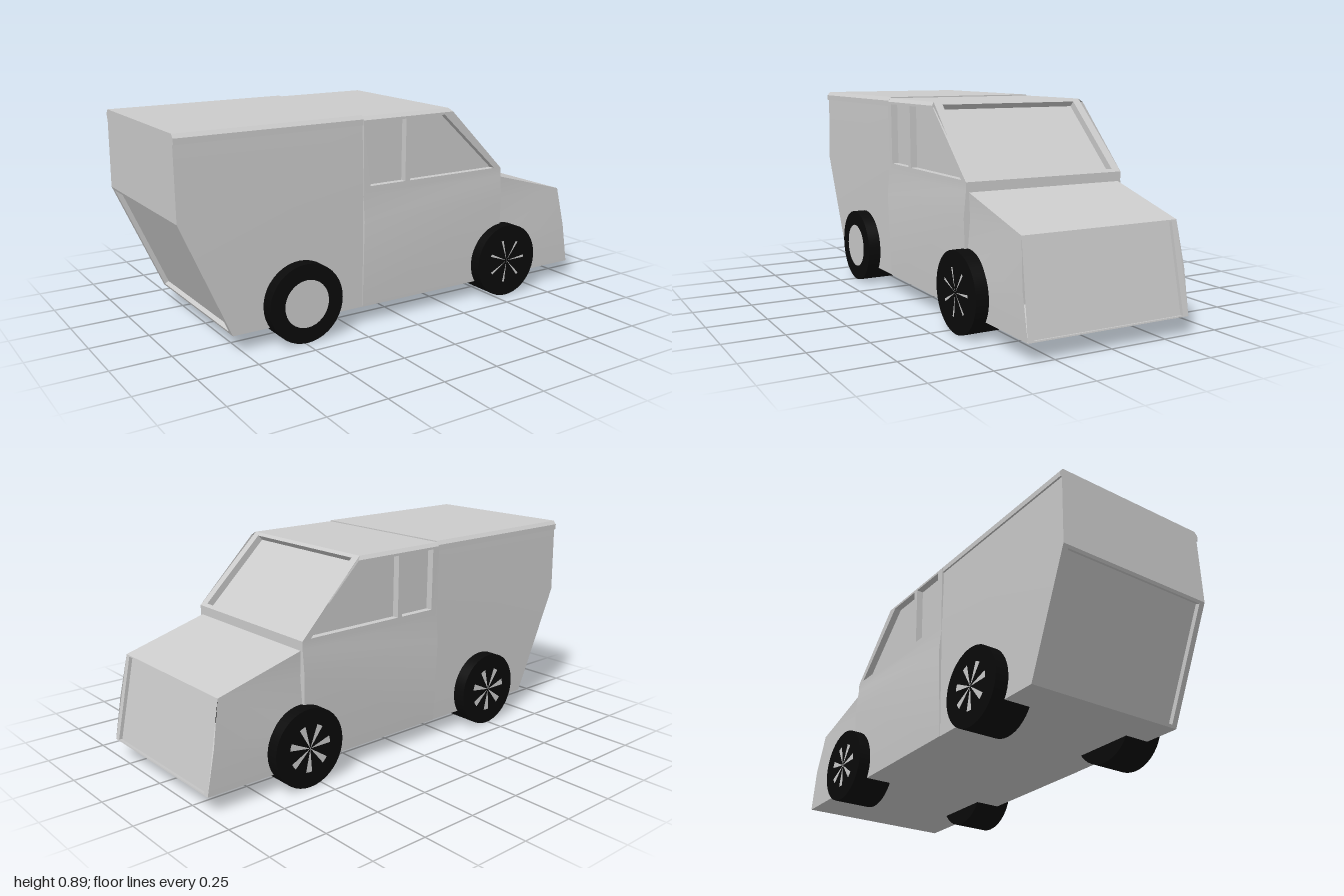
import * as THREE from 'three';
import { mergeGeometries, toCreasedNormals } from 'three/addons/utils/BufferGeometryUtils.js';

const grey = new THREE.MeshStandardMaterial({ color: 0xcccccc, side: THREE.DoubleSide });
const black = new THREE.MeshStandardMaterial({ color: 0x0a0a0a });

// Flat four-cornered panel
function quad(a, b, c, d) {
  const g = new THREE.BufferGeometry();
  g.setAttribute('position', new THREE.Float32BufferAttribute([a, b, c, a, c, d].flat(), 3));
  return g;
}

// Panel spanning the full width, from profile point p to q
const span = (p, q, wp, wq) =>
  quad([p[0], p[1], wp], [q[0], q[1], wq], [q[0], q[1], -wq], [p[0], p[1], -wp]);

// Side panel drawn in x and y, then pushed out to the body's half width at each height
function side(points, width, s, holes = []) {
  const toVec = p => new THREE.Vector2(p[0], p[1]);
  const shape = new THREE.Shape(points.map(toVec));
  holes.forEach(h => shape.holes.push(new THREE.Path(h.map(toVec))));
  const src = new THREE.ShapeGeometry(shape);
  if (s < 0) src.index.array.reverse();
  const g = src.toNonIndexed();
  g.deleteAttribute('uv');
  g.deleteAttribute('normal');
  const pos = g.attributes.position;
  for (let i = 0; i < pos.count; i++) pos.setZ(i, s * width(pos.getY(i)));
  return g;
}

// Frame, reveal and sunken panel inside four corners given in order
function inset(corners, marginU, marginV, depth) {
  const v = corners.map(c => new THREE.Vector3(...c));
  const at = (u, w) => v[0].clone().lerp(v[1], u).lerp(v[3].clone().lerp(v[2], u), w);
  const n = v[1].clone().sub(v[0]).cross(v[3].clone().sub(v[0])).normalize();
  const inner = [[marginU, marginV], [1 - marginU, marginV], [1 - marginU, 1 - marginV], [marginU, 1 - marginV]]
    .map(([a, b]) => at(a, b));
  const sunk = inner.map(p => p.clone().addScaledVector(n, -depth));
  const parts = [quad(...sunk.map(p => p.toArray()))];
  for (let i = 0; i < 4; i++) {
    const j = (i + 1) % 4;
    parts.push(quad(v[i].toArray(), v[j].toArray(), inner[j].toArray(), inner[i].toArray()));
    parts.push(quad(inner[i].toArray(), inner[j].toArray(), sunk[j].toArray(), sunk[i].toArray()));
  }
  return parts;
}

// Half width interpolated from [height, width] rows
const widthFrom = rows => y => {
  for (let i = 1; i < rows.length; i++) {
    const [y0, w0] = rows[i - 1], [y1, w1] = rows[i];
    if (y <= y1 + 1e-6) return w0 + (w1 - w0) * (y - y0) / (y1 - y0);
  }
  return rows[rows.length - 1][1];
};

export function createModel() {
  const model = new THREE.Group();
  const add = (name, parts, crease = 0.5) => {
    const mesh = new THREE.Mesh(toCreasedNormals(mergeGeometries(parts), crease), grey);
    mesh.name = name;
    model.add(mesh);
  };

  // Cab
  const cabW = widthFrom([[0.075, 0.364], [0.45, 0.378], [0.555, 0.368], [0.87, 0.371], [0.885, 0.357]]);
  const windows = [
    [[-0.155, 0.595], [0.02, 0.595], [0.02, 0.86], [-0.155, 0.86]],
    [[0.045, 0.595], [0.51, 0.595], [0.22, 0.86], [0.045, 0.86]],
  ];
  const cab = [], glass = [];
  for (const s of [1, -1]) {
    cab.push(
      side([[-0.19, 0.075], [0.55, 0.075], [0.55, 0.45], [-0.19, 0.45]], cabW, s),
      side([[-0.19, 0.45], [0.55, 0.45], [0.55, 0.555], [-0.19, 0.555]], cabW, s),
      side([[-0.19, 0.555], [0.55, 0.555], [0.55, 0.59], [0.265, 0.87], [-0.19, 0.87]], cabW, s, windows),
      side([[-0.19, 0.87], [0.265, 0.87], [0.25, 0.885], [-0.19, 0.885]], cabW, s));
    // Sunken side windows with their reveals
    for (const w of windows) {
      const sunk = y => cabW(y) - 0.03;
      glass.push(side(w, sunk, s));
      w.forEach((p, i) => {
        const q = w[(i + 1) % 4];
        glass.push(quad([...p, s * cabW(p[1])], [...q, s * cabW(q[1])],
          [...q, s * sunk(q[1])], [...p, s * sunk(p[1])]));
      });
    }
  }
  cab.push(
    span([-0.19, 0.885], [0.25, 0.885], 0.357, 0.357),
    span([-0.19, 0.075], [0.55, 0.075], 0.364, 0.364));
  // Cab end walls
  for (const [x, ys] of [[-0.19, [0.075, 0.45, 0.555, 0.87, 0.885]], [0.55, [0.075, 0.45, 0.555, 0.59]]])
    for (let i = 1; i < ys.length; i++)
      cab.push(span([x, ys[i - 1]], [x, ys[i]], cabW(ys[i - 1]), cabW(ys[i])));
  add('cab', cab);
  add('sideWindows', glass);

  // Windscreen
  add('windscreen', inset(
    [[0.55, 0.59, 0.368], [0.55, 0.59, -0.368], [0.25, 0.885, -0.357], [0.25, 0.885, 0.357]], 0.05, 0.04, 0.03));

  // Bonnet and nose
  const noseW = widthFrom([[0.075, 0.364], [0.26, 0.366], [0.445, 0.35], [0.55, 0.355]]);
  const nose = [];
  for (const s of [1, -1])
    nose.push(
      side([[0.55, 0.075], [1, 0.075], [0.965, 0.26], [0.55, 0.26]], noseW, s),
      side([[0.55, 0.26], [0.965, 0.26], [0.93, 0.445], [0.55, 0.445]], noseW, s),
      side([[0.55, 0.445], [0.93, 0.445], [0.55, 0.55]], noseW, s));
  nose.push(
    span([0.55, 0.55], [0.93, 0.445], 0.355, 0.35),
    span([0.55, 0.075], [1, 0.075], 0.364, 0.364));
  add('bonnet', nose);
  add('nosePanel', inset(
    [[1, 0.075, 0.364], [1, 0.075, -0.364], [0.93, 0.445, -0.35], [0.93, 0.445, 0.35]], 0.035, 0.015, 0.015));

  // Cargo body
  const cargoW = widthFrom([[0.075, 0.362], [0.555, 0.366], [0.85, 0.36]]);
  const cargo = [];
  for (const s of [1, -1])
    cargo.push(
      side([[-0.79, 0.075], [-0.19, 0.075], [-0.19, 0.555], [-1, 0.555]], cargoW, s),
      side([[-1, 0.555], [-0.19, 0.555], [-0.19, 0.85], [-1, 0.85]], cargoW, s));
  cargo.push(
    span([-0.79, 0.075], [-0.19, 0.075], 0.362, 0.362),
    span([-1, 0.555], [-1, 0.85], 0.366, 0.36));
  add('cargoBody', cargo);
  add('rearPanel', inset(
    [[-0.79, 0.075, -0.362], [-0.79, 0.075, 0.362], [-1, 0.555, 0.366], [-1, 0.555, -0.366]], 0.035, 0.025, 0.02));

  // Cargo roof with a small lip and bevelled edges
  const roofShape = new THREE.Shape([[-0.368, 0.85], [0.368, 0.85], [0.368, 0.874], [0.354, 0.89], [-0.354, 0.89], [-0.368, 0.874]]
    .map(p => new THREE.Vector2(...p)));
  const roof = new THREE.Mesh(toCreasedNormals(
    new THREE.ExtrudeGeometry(roofShape, { depth: 0.81, bevelEnabled: false }), 0.5), grey);
  roof.name = 'cargoRoof';
  roof.rotation.y = Math.PI / 2;
  roof.position.x = -1;
  model.add(roof);

  // Wheels: deep black tyres, a plain disc on one and thin blades on the others
  for (const x of [-0.49, 0.56])
    for (const s of [1, -1]) {
      const wheel = new THREE.Group();
      wheel.name = (x < 0 ? 'rear' : 'front') + (s > 0 ? 'Right' : 'Left') + 'Wheel';
      const tyre = new THREE.Mesh(new THREE.CylinderGeometry(0.166, 0.166, 0.175, 40), black);
      tyre.name = 'tyre';
      tyre.rotation.x = Math.PI / 2;
      wheel.add(tyre);
      const plain = x < 0 && s > 0;
      const blades = plain ? 1 : 7;
      for (let i = 0; i < blades; i++) {
        const hub = new THREE.Mesh(plain ? new THREE.CircleGeometry(0.1, 32)
          : new THREE.CircleGeometry(0.1, 4, i * Math.PI * 2 / blades, s > 0 ? 0.12 : 0.3), grey);
        hub.name = 'hub';
        hub.position.z = s * 0.0885;
        if (s < 0) hub.rotation.y = Math.PI;
        wheel.add(hub);
      }
      wheel.position.set(x, 0.166, s * 0.3325);
      model.add(wheel);
    }
  return model;
}
